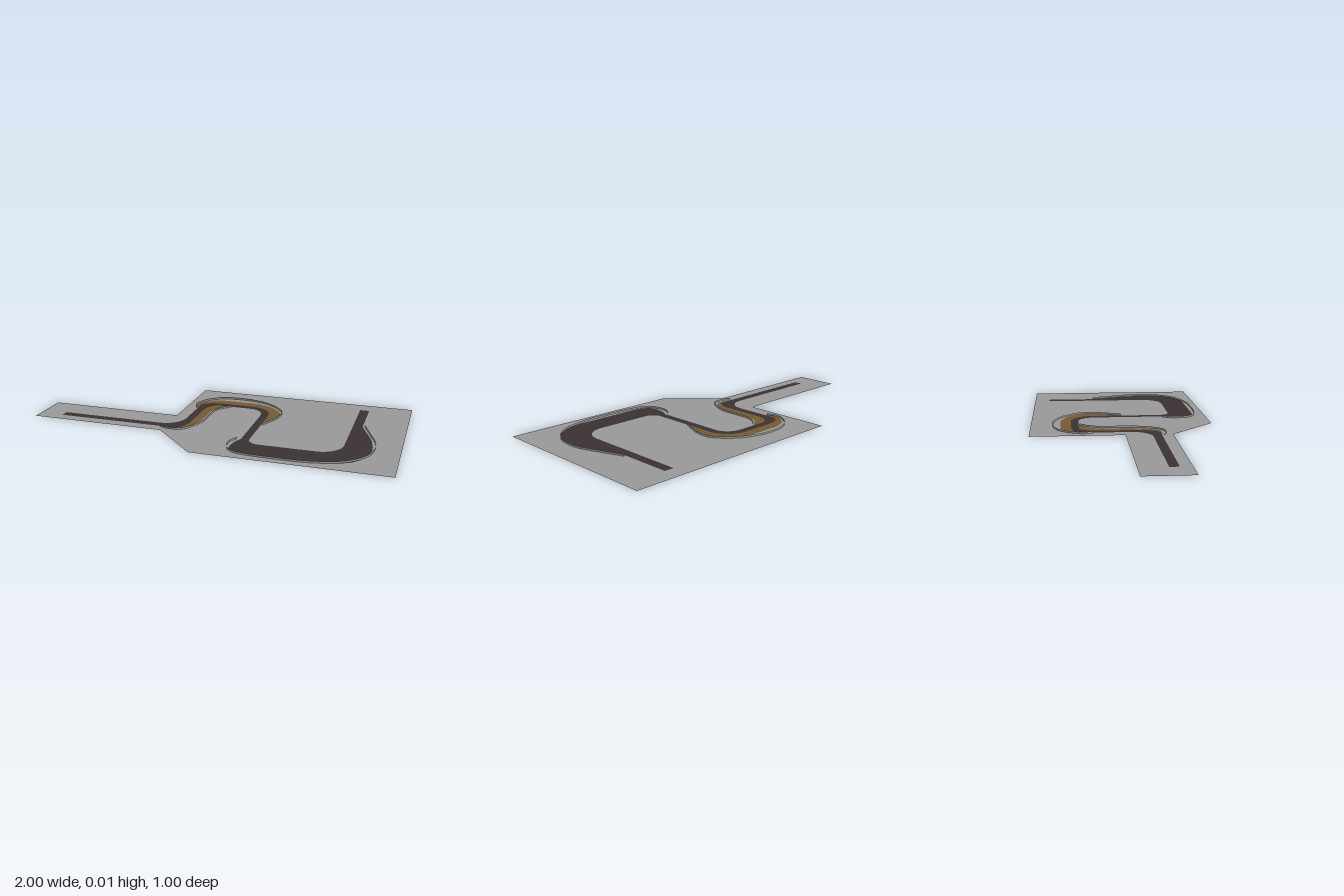
import * as THREE from 'three';

const mat = (name, color) => {
  const m = new THREE.MeshStandardMaterial({ color, side: THREE.DoubleSide });
  m.name = name;
  return m;
};

// Polyline of [x, z, cornerRadius] with rounded corners
function rounded(pts) {
  const out = [];
  pts.forEach(([x, z, r], i) => {
    const p = new THREE.Vector2(x, z);
    if (!r) return out.push(p);
    const toward = ([ax, az]) => {
      const d = new THREE.Vector2(ax - x, az - z);
      return d.setLength(Math.min(r, d.length() * 0.5)).add(p);
    };
    const a = toward(pts[i - 1]), b = toward(pts[i + 1]);
    // cubic approximating a circular arc
    const c = new THREE.CubicBezierCurve(a, a.clone().lerp(p, 0.55), b.clone().lerp(p, 0.55), b);
    out.push(...c.getPoints(8));
  });
  return out;
}

// Joins edges end to end, dropping the repeated joint points
function join(...edges) {
  const all = edges.flat();
  return all.filter((p, i) => p.distanceTo(all[(i + 1) % all.length]) > 1e-5);
}

// Flat ground-level area, with an optional hole
function area(name, outline, material, hole) {
  const flip = (pts) => pts.map((p) => new THREE.Vector2(p.x, -p.y));
  const shape = new THREE.Shape(flip(outline));
  if (hole) shape.holes.push(new THREE.Path(flip(hole)));
  const mesh = new THREE.Mesh(new THREE.ShapeGeometry(shape).rotateX(-Math.PI / 2), material);
  mesh.name = name;
  return mesh;
}

// Thin upright wall along a path
function wall(name, path, height, material) {
  const pos = [], index = [];
  path.forEach((p, i) => {
    pos.push(p.x, 0, p.y, p.x, height, p.y);
    const k = i * 2;
    if (i) index.push(k - 2, k, k - 1, k - 1, k, k + 1);
  });
  const g = new THREE.BufferGeometry();
  g.setAttribute('position', new THREE.Float32BufferAttribute(pos, 3));
  g.setIndex(index);
  g.computeVertexNormals();
  const mesh = new THREE.Mesh(g, material);
  mesh.name = name;
  return mesh;
}

export function createModel() {
  const group = new THREE.Group();
  group.name = 'raceTrackSection';
  const ground = mat('groundGrey', 0x979797);
  const asphalt = mat('asphalt', 0x3a3232);
  const gravel = mat('gravelBrown', 0x765a32);
  const barrier = mat('barrierGrey', 0xa4a4a4);

  // Road edge on the left of travel, in three runs
  const left0 = rounded([[-0.865, 0.142], [-0.182, 0.142, 0.11], [-0.182, -0.16]]);
  const left1 = rounded([[-0.182, -0.16], [-0.182, -0.28, 0.13], [0.24, -0.28, 0.13], [0.24, 0]]);
  const left2 = rounded([[0.24, 0], [0.24, 0.295, 0.06], [0.717, 0.295, 0.12], [0.717, -0.41]]);
  // Far end and the widened outside of the last bend
  const runOff = rounded([[0.768, -0.41], [0.768, -0.13], [0.86, 0.11, 0.1], [0.86, 0.29, 0.1],
    [0.75, 0.435, 0.13], [0.45, 0.435], [0.17, 0.435, 0.1], [0.17, 0.3, 0.06], [0.197, 0.245]]);
  // Returning road edge
  const right0 = rounded([[0.197, 0.245], [0.197, -0.238, 0.09], [0, -0.238]]);
  const right1 = rounded([[0, -0.238], [-0.138, -0.238, 0.1], [-0.138, 0.19, 0.12], [-0.26, 0.19]]);
  const right2 = rounded([[-0.26, 0.19], [-0.865, 0.19]]);

  // Outer edges of the gravel traps
  const topTrap = rounded([[-0.182, -0.16], [-0.21, -0.19, 0.03], [-0.19, -0.28, 0.06],
    [-0.1, -0.338, 0.07], [0, -0.338], [0.17, -0.338, 0.11], [0.29, -0.24, 0.1], [0.31, -0.14, 0.08], [0.24, 0]]);
  const sideTrap = rounded([[0, -0.238], [-0.09, -0.17, 0.06], [-0.09, 0.06, 0.06],
    [-0.14, 0.195, 0.06], [-0.2, 0.2, 0.05], [-0.26, 0.19]]);
  const back = (pts) => [...pts].reverse();

  // Ground is cut away beneath the track
  const plot = [[-1, 0], [-0.25, 0], [-0.25, -0.5], [1, -0.5], [1, 0.5], [0, 0.5], [-0.25, 0.25], [-1, 0.25]];
  group.add(
    area('ground', rounded(plot), ground, join(left0, topTrap, left2, runOff, right0, sideTrap, right2)),
    area('road', join(left0, left1, left2, runOff, right0, right1, right2), asphalt),
    area('topGravelTrap', join(left1, back(topTrap)), gravel),
    area('sideGravelTrap', join(right1, back(sideTrap)), gravel),
  );

  // Low barriers around the outside of each bend
  const barriers = {
    sideBarrier: [[-0.27, 0.2], [-0.23, 0.217], [-0.14, 0.217, 0.05], [-0.072, 0.08, 0.06],
      [-0.072, -0.16, 0.06], [0, -0.234]],
    topBarrier: [[-0.19, -0.165], [-0.215, -0.22, 0.05], [-0.16, -0.33, 0.06], [-0.06, -0.38, 0.05],
      [0.13, -0.38, 0.09], [0.29, -0.27, 0.1], [0.32, -0.15, 0.08], [0.247, 0.01]],
    bendBarrier: [[0.175, 0.25], [0.145, 0.31, 0.05], [0.17, 0.43, 0.06], [0.3, 0.455, 0.08],
      [0.64, 0.455, 0.12], [0.83, 0.36, 0.1], [0.89, 0.17, 0.1], [0.78, -0.13]],
  };
  for (const [name, pts] of Object.entries(barriers)) {
    group.add(wall(name, rounded(pts), 0.01, barrier));
  }
  return group;
}
